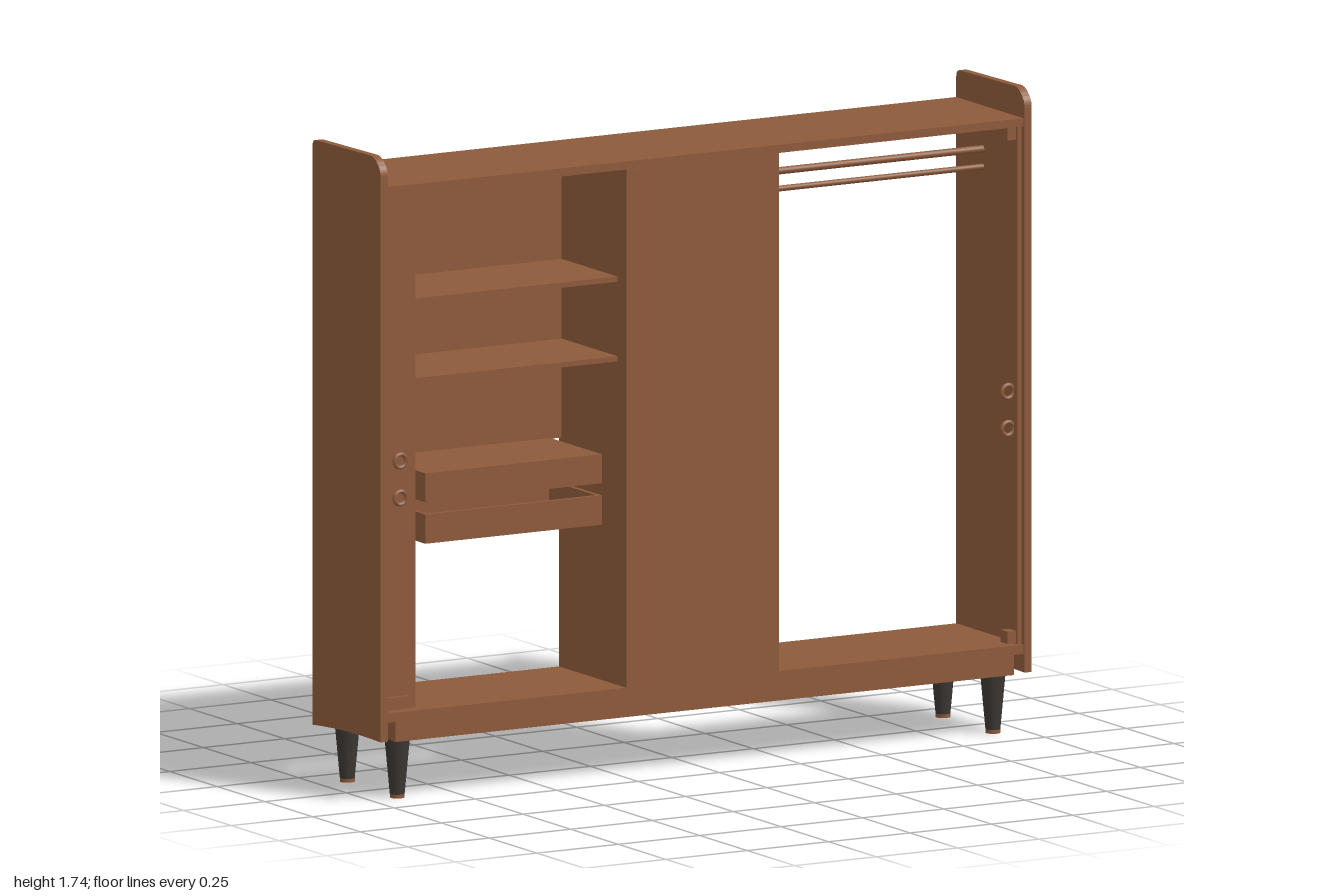
import * as THREE from 'three';

export function createModel() {
  const model = new THREE.Group();
  const wood = new THREE.MeshStandardMaterial({ color: 0x8d5a3b });
  wood.name = 'brown wood';
  const legMat = new THREE.MeshStandardMaterial({ color: 0x3b3733 });
  legMat.name = 'dark leg';

  // Box given by its limits on each axis
  const box = (name, x0, x1, y0, y1, z0, z1, parent = model) => {
    const m = new THREE.Mesh(new THREE.BoxGeometry(x1 - x0, y1 - y0, z1 - z0), wood);
    m.position.set((x0 + x1) / 2, (y0 + y1) / 2, (z0 + z1) / 2);
    m.name = name;
    parent.add(m);
    return m;
  };

  // Side panels, drawn in (z, y), with rounded top corners
  const s = new THREE.Shape();
  s.moveTo(-0.178, 0.155);
  s.lineTo(-0.178, 1.715);
  s.quadraticCurveTo(-0.178, 1.735, -0.158, 1.735);
  s.lineTo(0.13, 1.74);
  s.quadraticCurveTo(0.15, 1.738, 0.165, 1.722);
  s.quadraticCurveTo(0.18, 1.71, 0.18, 1.69);
  s.lineTo(0.18, 0.165);
  s.quadraticCurveTo(0, 0.172, -0.178, 0.155);
  const sideGeo = new THREE.ExtrudeGeometry(s, { depth: 0.022, bevelEnabled: false, curveSegments: 6 });
  sideGeo.rotateY(-Math.PI / 2); // shape x becomes z, depth runs to -x
  for (const [name, x] of [['leftSide', 1], ['rightSide', -0.978]]) {
    const m = new THREE.Mesh(sideGeo, wood);
    m.position.x = x;
    m.name = name;
    model.add(m);
  }

  // Carcass
  box('topBoard', -0.978, 0.978, 1.638, 1.66, -0.178, 0.175);
  box('bottomBoard', -0.978, 0.978, 0.215, 0.24, -0.178, 0.175);
  box('frontRail', -0.95, 0.95, 0.16, 0.215, 0.15, 0.172);
  box('centreCabinet', -0.243, 0.225, 0.24, 1.638, -0.178, 0.177);
  box('rightPartition', -0.966, -0.866, 0.24, 1.638, -0.16, 0.135);
  box('backPanel', -0.978, -0.243, 0.86, 1.638, -0.178, -0.163);
  box('leftFrontStrip', 0.966, 0.978, 0.24, 1.638, 0.12, 0.165);

  // Shelves
  for (const y of [1.335, 1.12]) box('shelf', -0.866, -0.243, y - 0.007, y + 0.007, -0.163, 0.13);

  // Two shallow drawers: the upper one covered, the lower one open
  const drawer = (name, y0, y1, covered) => {
    const g = new THREE.Group();
    g.name = name;
    const [x0, x1, z0, z1, t] = [-0.83, -0.288, -0.145, 0.125, 0.012];
    box('drawerFront', x0, x1, y0, y1, z1 - t, z1, g);
    box('drawerBack', x0, x1, y0, y1, z0, z0 + t, g);
    box('drawerSide', x0, x0 + t, y0, y1, z0 + t, z1 - t, g);
    box('drawerSide', x1 - t, x1, y0, y1, z0 + t, z1 - t, g);
    box('drawerFloor', x0 + t, x1 - t, y0, y0 + t, z0 + t, z1 - t, g);
    if (covered) box('drawerTop', x0 + t, x1 - t, y1 - t, y1, z0 + t, z1 - t, g);
    model.add(g);
  };
  drawer('upperDrawer', 0.788, 0.866, true);
  drawer('lowerDrawer', 0.676, 0.755, false);

  // Hanging rods
  for (const [y, r] of [[1.543, 0.01], [1.495, 0.008]]) {
    const rod = new THREE.Mesh(new THREE.CylinderGeometry(r, r, 0.753, 12), wood);
    rod.rotation.z = Math.PI / 2;
    rod.position.set(0.6015, y, -0.04);
    rod.name = 'hangingRod';
    model.add(rod);
  }

  // Small hinges and latches
  for (const [y0, y1] of [[1.6, 1.636], [0.242, 0.275]]) {
    box('leftHinge', 0.94, 0.966, y0, y1, 0.12, 0.155);
    box('rightHinge', -0.96, -0.89, y0, y1, 0.135, 0.148);
  }
  for (const y of [0.82, 0.92]) {
    const ring = new THREE.Mesh(new THREE.TorusGeometry(0.018, 0.006, 6, 12), wood);
    ring.position.set(0.95, y, 0.14);
    ring.name = 'leftLatch';
    const ring2 = ring.clone();
    ring2.position.set(-0.915, y - 0.01, 0.138);
    ring2.name = 'rightLatch';
    model.add(ring, ring2);
  }

  // Tapered legs with mounting blocks and small brown feet
  const legGeo = new THREE.CylinderGeometry(0.034, 0.02, 0.15, 16);
  const footGeo = new THREE.CylinderGeometry(0.02, 0.02, 0.01, 16);
  for (const x of [-0.915, 0.915]) {
    for (const z of [0.122, -0.14]) {
      const leg = new THREE.Mesh(legGeo, legMat);
      leg.position.set(x, 0.085, z);
      leg.name = 'leg';
      const foot = new THREE.Mesh(footGeo, wood);
      foot.position.set(x, 0.005, z);
      foot.name = 'foot';
      model.add(leg, foot);
      box('legBlock', x - 0.03, x + 0.03, 0.16, 0.215, z - 0.028, z + 0.028);
    }
  }
  return model;
}
